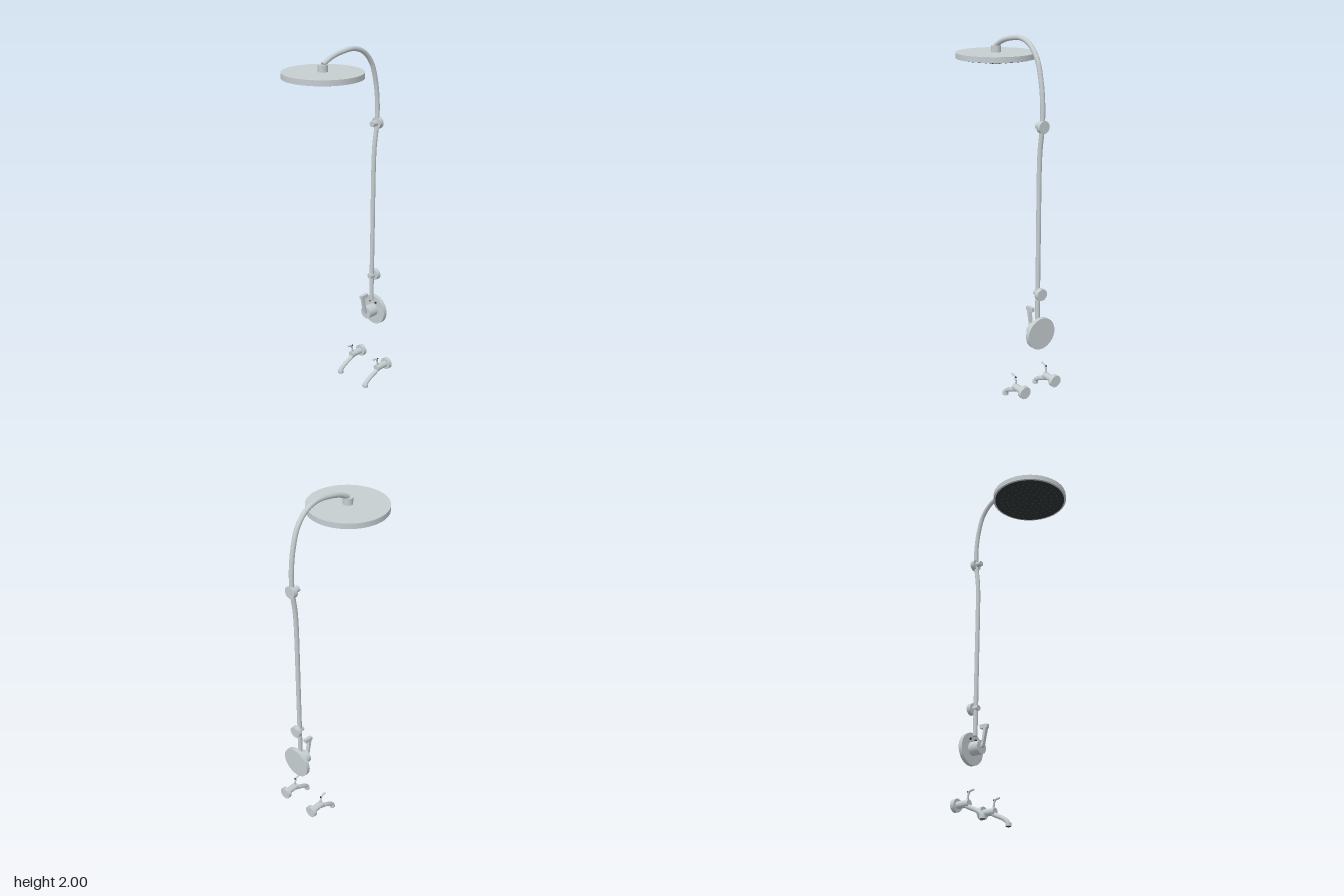
import * as THREE from 'three';

const chrome = new THREE.MeshStandardMaterial({ color: 0xc5cdd0 });
chrome.name = 'chrome grey';
const rubber = new THREE.MeshStandardMaterial({ color: 0x2b3234 });
rubber.name = 'black rubber';

function add(parent, name, geometry, material, x = 0, y = 0, z = 0) {
  const mesh = new THREE.Mesh(geometry, material);
  mesh.name = name;
  mesh.position.set(x, y, z);
  parent.add(mesh);
  return mesh;
}

// Cylinder along z between two depths
function rod(parent, name, r, z0, z1, x, y, material = chrome) {
  const geo = new THREE.CylinderGeometry(r, r, z1 - z0, 40).rotateX(Math.PI / 2);
  return add(parent, name, geo, material, x, y, (z0 + z1) / 2);
}

// Round tube with closed ends through [y, z] points at x = 0
function pipe(parent, name, points, r, segments = 40) {
  const path = points.map(([y, z]) => new THREE.Vector3(0, y, z));
  const curve = new THREE.CatmullRomCurve3(path, false, 'centripetal');
  add(parent, name, new THREE.TubeGeometry(curve, segments, r, 20), chrome);
  [0, 1].forEach((t) => {
    const cap = add(parent, name + 'End', new THREE.CircleGeometry(r, 20), chrome);
    const p = curve.getPointAt(t);
    const dir = curve.getTangentAt(t).multiplyScalar(t ? 1 : -1);
    cap.position.copy(p);
    cap.lookAt(p.clone().add(dir));
  });
}

function showerHead() {
  const g = new THREE.Group();
  g.name = 'showerHead';
  g.position.set(0, 0, 0.1);
  add(g, 'headDisc', new THREE.CylinderGeometry(0.213, 0.213, 0.029, 80), chrome, 0, 1.8815, 0);
  add(g, 'sprayFace', new THREE.CylinderGeometry(0.202, 0.202, 0.003, 80), rubber, 0, 1.866, 0);
  add(g, 'headNeck', new THREE.CylinderGeometry(0.026, 0.026, 0.036, 40), chrome, 0, 1.913, 0);
  // Concentric rings of nozzles
  const nozzle = new THREE.CylinderGeometry(0.005, 0.004, 0.009, 10);
  for (let ring = 1; ring <= 5; ring++) {
    const count = ring * 6;
    for (let i = 0; i < count; i++) {
      const a = (i / count) * Math.PI * 2;
      const r = ring * 0.033;
      add(g, 'nozzle', nozzle, rubber, Math.cos(a) * r, 1.862, Math.sin(a) * r);
    }
  }
  return g;
}

function wallBracket(y) {
  const g = new THREE.Group();
  g.name = 'wallBracket';
  rod(g, 'bracketPlate', 0.033, -0.314, -0.288, 0, y);
  rod(g, 'bracketStem', 0.016, -0.29, -0.255, 0, y);
  return g;
}

function mixerValve() {
  const g = new THREE.Group();
  g.name = 'mixerValve';
  rod(g, 'valvePlate', 0.09, -0.314, -0.291, 0, 0.421);
  rod(g, 'valveBody', 0.038, -0.292, -0.229, 0, 0.421);
  [-1, 1].forEach((s) => rod(g, 'valvePin', 0.006, -0.292, -0.285, s * 0.022, 0.473, rubber));
  // Flat lever leaning forward, with a grip at the top
  const side = new THREE.Shape();
  [[0.232, 0.416], [0.215, 0.423], [0.195, 0.52], [0.188, 0.523], [0.188, 0.543],
    [0.238, 0.546], [0.238, 0.524], [0.212, 0.521], [0.223, 0.448], [0.232, 0.444]]
    .forEach(([d, y], i) => (i ? side.lineTo(d, y) : side.moveTo(d, y)));
  side.closePath();
  const lever = new THREE.ExtrudeGeometry(side, { depth: 0.02, bevelEnabled: false });
  lever.rotateY(Math.PI / 2);
  add(g, 'valveLever', lever, chrome, -0.01, 0, 0);
  return g;
}

function tap(x) {
  const g = new THREE.Group();
  g.name = 'tap';
  g.position.x = x;
  rod(g, 'tapPlate', 0.035, -0.314, -0.291, 0, 0.093);
  rod(g, 'tapBody', 0.0195, -0.295, -0.215, 0, 0.093);
  pipe(g, 'tapSpout', [[0.085, -0.24], [0.07, -0.21], [0.052, -0.17], [0.03, -0.138], [0.012, -0.127]], 0.0125, 24);
  add(g, 'spoutTip', new THREE.CylinderGeometry(0.0165, 0.0165, 0.018, 28), chrome, 0, 0.011, -0.128);
  add(g, 'spoutOutlet', new THREE.CylinderGeometry(0.012, 0.012, 0.003, 28), rubber, 0, 0.0015, -0.128);
  // Thin bent handle with a dark joint
  pipe(g, 'tapHandle', [[0.1, -0.228], [0.13, -0.225], [0.148, -0.22], [0.157, -0.208], [0.16, -0.188]], 0.0055, 20);
  add(g, 'handleJoint', new THREE.SphereGeometry(0.005, 16, 10), rubber, 0, 0.153, -0.226);
  return g;
}

export function createModel() {
  const model = new THREE.Group();
  model.name = 'showerSet';

  // Riser pipe with the overhead arm
  pipe(model, 'riserPipe', [[0.49, -0.275], [0.9, -0.275], [1.36, -0.276], [1.45, -0.281], [1.53, -0.292],
    [1.6, -0.297], [1.69, -0.295], [1.795, -0.28], [1.897, -0.247], [1.962, -0.188], [1.987, -0.116],
    [1.98, -0.03], [1.962, 0.04], [1.932, 0.1]], 0.0128, 140);

  model.add(showerHead(), wallBracket(1.563), wallBracket(0.65), mixerValve());
  [-1, 1].forEach((s) => model.add(tap(s * 0.108)));
  return model;
}
